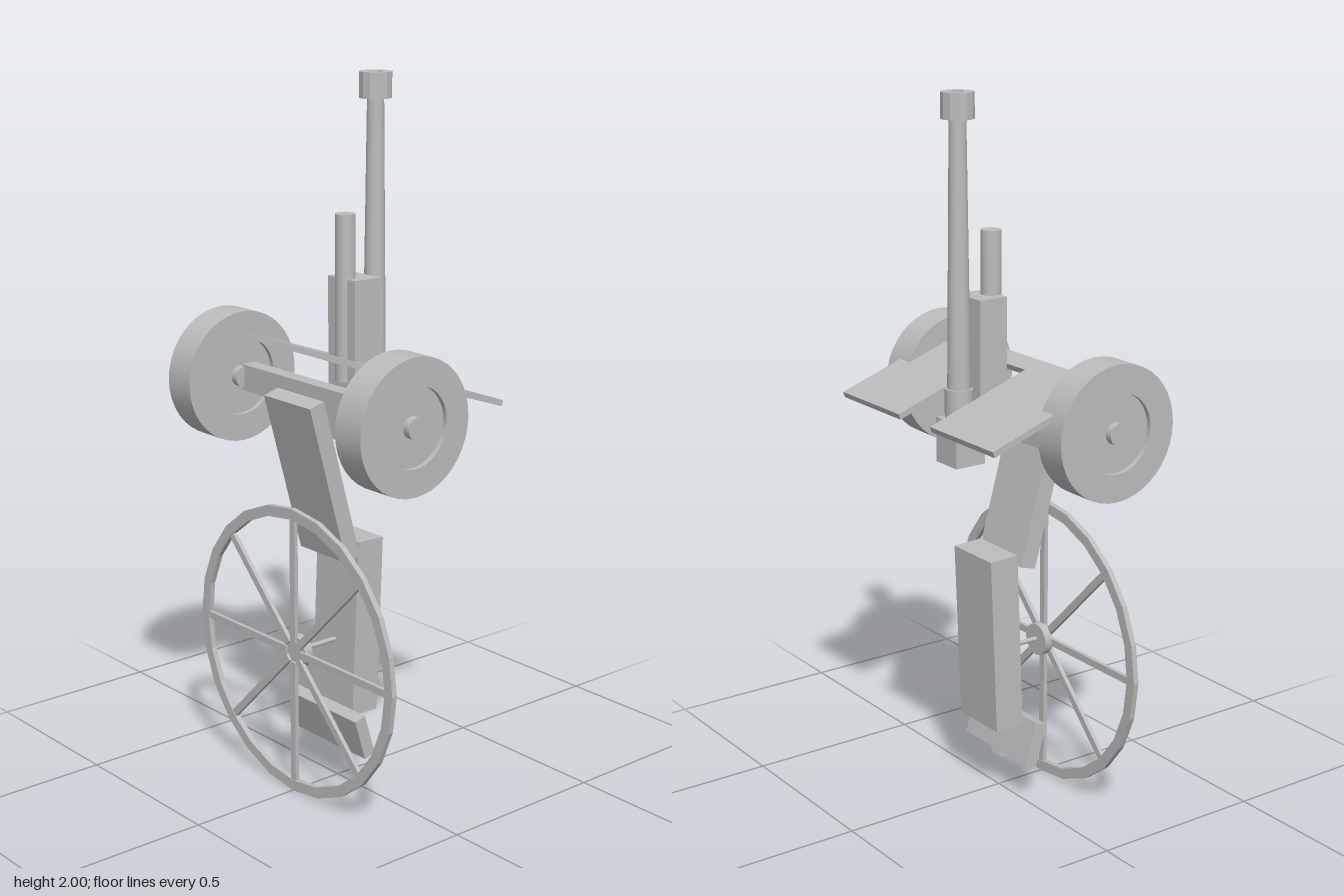
import * as THREE from 'three';
import { toCreasedNormals } from 'three/addons/utils/BufferGeometryUtils.js';

const grey = new THREE.MeshStandardMaterial({ color: 0xbcbcbc });
grey.name = 'plainGrey';

export function createModel() {
  const model = new THREE.Group();
  model.name = 'fieldGun';

  const add = (name, geometry, x, y, z, tilt = 0, parent = model) => {
    const mesh = new THREE.Mesh(geometry, grey);
    mesh.name = name;
    mesh.position.set(x, y, z);
    mesh.rotation.x = tilt;
    parent.add(mesh);
    return mesh;
  };
  const box = (name, w, h, d, x, y, z, tilt) =>
    add(name, new THREE.BoxGeometry(w, h, d), x, y, z, tilt);
  // Turned part: profile of [radius, height] pairs, listed upwards on the outside
  const turned = (profile, sides, crease) => toCreasedNormals(
    new THREE.LatheGeometry(profile.map(([r, h]) => new THREE.Vector2(r, h)), sides), crease);

  // Barrel, collar, muzzle and breech
  const bz = -0.132;
  add('barrel', new THREE.CylinderGeometry(0.023, 0.033, 0.82, 20), 0, 1.53, bz);
  add('barrelCollar', new THREE.CylinderGeometry(0.039, 0.039, 0.09, 20), 0, 1.165, bz);
  add('muzzle', turned([[0, -0.035], [0.045, -0.035], [0.045, 0.035], [0.018, 0.035],
    [0.018, 0], [0, 0]], 12, 0.2), 0, 1.965, bz);
  box('breechBlock', 0.096, 0.125, 0.094, 0, 1.0625, -0.128);

  // Cradle and recoil cylinder
  box('cradle', 0.112, 0.415, 0.088, 0, 1.2475, -0.057);
  add('recoilCylinder', new THREE.CylinderGeometry(0.028, 0.028, 0.46, 20), 0, 1.4, -0.026);

  // Axle beam with saddle below
  box('axleBeam', 0.63, 0.075, 0.045, 0, 1.1375, 0.065);
  box('saddle', 0.25, 0.09, 0.045, 0, 1.085, 0.063);

  // Shield: flat sloped plate notched for the barrel and the wheels
  const slope = 0.336;
  const k = 1 / Math.cos(slope);
  const right = [[0.075, 0.275], [0.36, 0.275], [0.36, 0.083], [0.312, 0.083], [0.312, -0.088]];
  const left = right.map(([x, y]) => [-x, y]).reverse();
  const outline = [[0.075, -0.035], ...right, ...left, [-0.075, -0.035]];
  const shieldGeo = new THREE.ExtrudeGeometry(
    new THREE.Shape(outline.map(([x, y]) => new THREE.Vector2(x, y * k))),
    { depth: 0.017, bevelEnabled: false });
  shieldGeo.translate(0, 0, -0.0085).rotateX(-Math.PI / 2);
  add('shield', shieldGeo, 0, 1.231, 0, -slope);

  // Road wheels with recessed discs and hubs
  const tyre = [[0, -0.035], [0.11, -0.035], [0.11, -0.049], [0.187, -0.049],
    [0.187, 0.049], [0.11, 0.049], [0.11, 0.035], [0, 0.035]];
  for (const side of [1, -1]) {
    const wheel = new THREE.Group();
    wheel.name = side > 0 ? 'leftWheel' : 'rightWheel';
    wheel.position.set(side * 0.361, 1.14, 0.0865);
    wheel.rotation.z = -side * Math.PI / 2;
    add('tyre', turned(tyre, 40, 0.5), 0, 0, 0, 0, wheel);
    add('hub', new THREE.CylinderGeometry(0.03, 0.03, 0.113, 20), 0, 0, 0, 0, wheel);
    model.add(wheel);
  }

  // Trail, lower box and spade
  box('trail', 0.197, 0.477, 0.05, 0, 0.919, 0.092, 0.27);
  box('lowerBox', 0.176, 0.512, 0.09, 0, 0.472, -0.035, -0.039);
  box('spade', 0.293, 0.127, 0.037, 0, 0.172, 0.024, 0.29);
  box('spadePin', 0.036, 0.04, 0.02, 0, 0.115, 0.004, 0.29);

  // Large spoked wheel on a thin shaft
  const spoked = new THREE.Group();
  spoked.name = 'spokedWheel';
  spoked.position.set(0, 0.42, 0.159);
  const rim = [[0.388, -0.008], [0.419, -0.008], [0.419, 0.008], [0.388, 0.008], [0.388, -0.008]];
  add('rim', turned(rim, 24, 0.1), 0, 0, 0, Math.PI / 2, spoked);
  for (let i = 0; i < 8; i++) {
    const a = i * Math.PI / 4;
    const spoke = add('spoke', new THREE.BoxGeometry(0.36, 0.021, 0.012),
      Math.cos(a) * 0.21, Math.sin(a) * 0.21, 0, 0, spoked);
    spoke.rotation.z = a;
  }
  add('spokeHub', new THREE.CylinderGeometry(0.047, 0.047, 0.026, 20), 0, 0, -0.015, Math.PI / 2, spoked);
  add('shaft', new THREE.CylinderGeometry(0.007, 0.007, 0.14, 10), 0, 0.002, -0.09, Math.PI / 2, spoked);
  model.add(spoked);

  return model;
}
